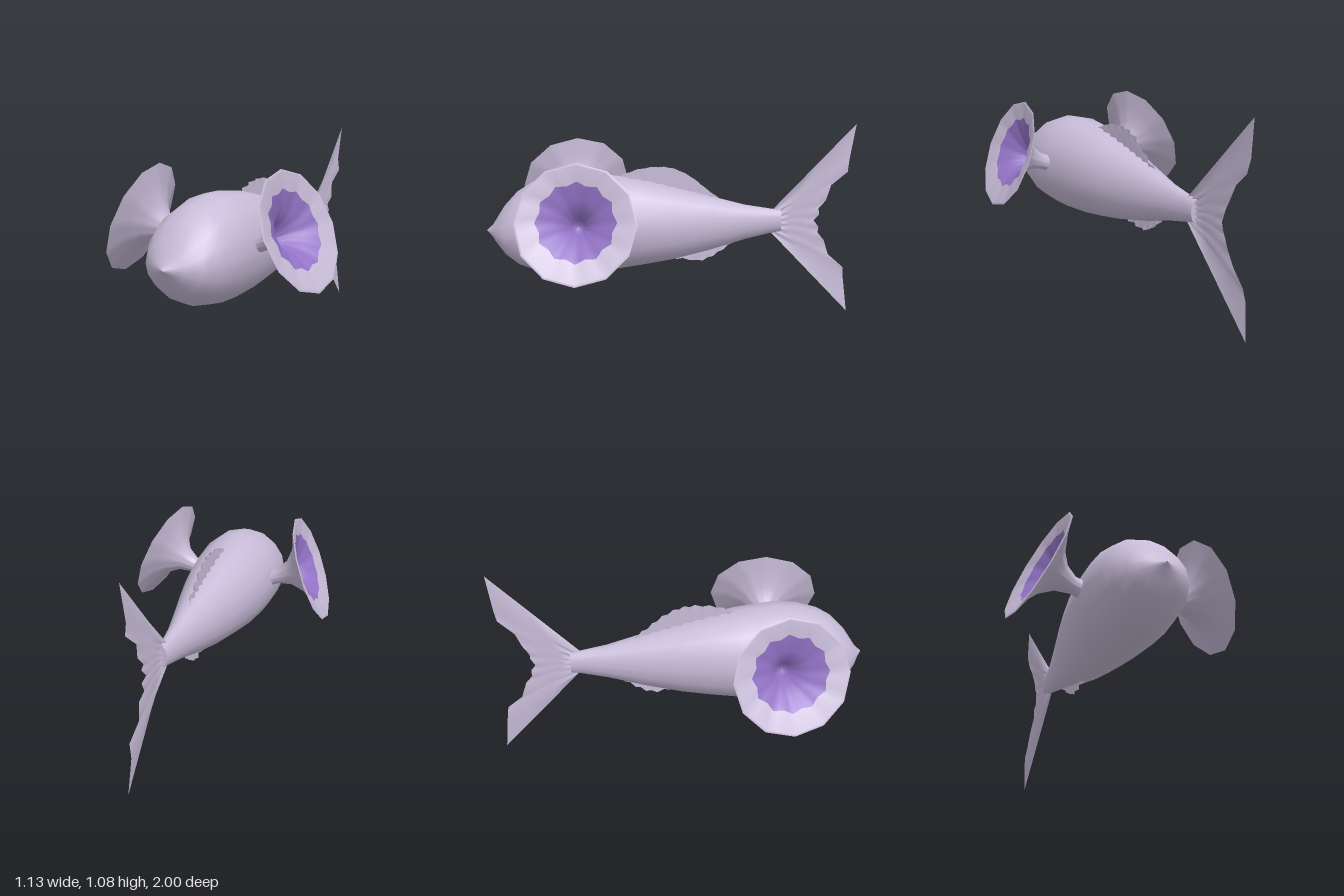
import * as THREE from 'three';

const skin = new THREE.MeshStandardMaterial({ color: 0xc8bcd8 });
skin.name = 'lavender skin';
const finSkin = new THREE.MeshStandardMaterial({ color: 0xc8bcd8, side: THREE.DoubleSide });
finSkin.name = 'lavender fin';
const purple = new THREE.MeshStandardMaterial({ color: 0x9373c6 });
purple.name = 'purple funnel';

// Smooth surface through rows of points; closed rows wrap round
function loft(rows, closed = true) {
  const n = rows[0].length, index = [];
  for (let i = 0; i < rows.length - 1; i++) {
    for (let j = 0; j < (closed ? n : n - 1); j++) {
      const k = (j + 1) % n;
      const a = i * n + j, b = i * n + k, c = a + n, d = b + n;
      index.push(a, b, c, b, d, c);
    }
  }
  const g = new THREE.BufferGeometry().setFromPoints(rows.flat());
  g.setIndex(index);
  g.computeVertexNormals();
  return g;
}

function part(name, geometry, material) {
  const m = new THREE.Mesh(geometry, material);
  m.name = name;
  return m;
}

// Body stations: z, half width, top y, bottom y
const STATIONS = [
  [-0.6, 0.03, 0.605, 0.485], [-0.55, 0.036, 0.615, 0.477], [-0.4, 0.062, 0.642, 0.445],
  [-0.2, 0.11, 0.697, 0.39], [0, 0.16, 0.752, 0.346], [0.15, 0.193, 0.79, 0.324],
  [0.3, 0.22, 0.82, 0.306], [0.5, 0.237, 0.843, 0.295], [0.63, 0.237, 0.833, 0.297],
  [0.75, 0.225, 0.795, 0.316], [0.83, 0.203, 0.745, 0.348], [0.9, 0.16, 0.67, 0.405],
  [0.945, 0.098, 0.6, 0.466], [0.97, 0.05, 0.562, 0.505], [1, 0.002, 0.537, 0.533],
];
const bodyRing = ([z, w, top, bottom]) => Array.from({ length: 16 }, (_, j) => {
  const a = j * Math.PI / 8;
  return new THREE.Vector3(-Math.sin(a) * w, (top + bottom) / 2 + Math.cos(a) * (top - bottom) / 2, z);
});

// Pleated sheet between a root line and an edge line, both [z, y]
function fin(root, edge, count, rootWave, edgeWave, smooth) {
  const at = (pts, t) => {
    const v = pts.map(([z, y]) => new THREE.Vector3(0, y, z));
    if (smooth) return new THREE.CatmullRomCurve3(v).getPoint(t);
    const f = Math.min(t * (v.length - 1), v.length - 1.0001), i = Math.floor(f);
    return v[i].clone().lerp(v[i + 1], f - i);
  };
  const rows = [0, 0.35, 0.7, 1].map(h => Array.from({ length: count + 1 }, (_, j) => {
    const p = at(root, j / count).lerp(at(edge, j / count), h);
    p.x = (j % 2 ? -1 : 1) * THREE.MathUtils.lerp(rootWave, edgeWave, h);
    return p;
  }));
  return loft(rows, false);
}

// Trumpet stations: centre x, y, z, radius, tilt towards the rim direction
const TRUMPET = [
  [0.17, 0.59, 0.505, 0.05, 0], [0.215, 0.597, 0.505, 0.047, 0.1], [0.265, 0.615, 0.505, 0.045, 0.3],
  [0.33, 0.643, 0.508, 0.072, 0.7], [0.382, 0.663, 0.512, 0.128, 1],
  [0.417, 0.682, 0.517, 0.205, 1], [0.453, 0.68, 0.52, 0.305, 1],
];
// Inner wall from the rim down the throat
const RIM = [[0.453, 0.68, 0.52, 0.305, 1], [0.457, 0.682, 0.52, 0.292, 1], [0.428, 0.684, 0.518, 0.198, 1]];
const THROAT = [
  [0.428, 0.684, 0.518, 0.198, 1], [0.393, 0.667, 0.512, 0.118, 1],
  [0.343, 0.648, 0.508, 0.062, 0.7], [0.28, 0.62, 0.505, 0.036, 0.3], [0.27, 0.617, 0.505, 0.001, 0.3],
];

// Twelve-sided ring with fine steps, optionally scalloped
function trumpetRing([x, y, z, r, tilt], side, scallop) {
  const n = new THREE.Vector3(1, 0.12, 0).lerp(new THREE.Vector3(0.933, 0.36, 0.1), tilt).normalize();
  const u = new THREE.Vector3(0, 1, 0).addScaledVector(n, -n.y).normalize();
  const v = n.clone().cross(u);
  const ring = Array.from({ length: 48 }, (_, j) => {
    const a = j * Math.PI / 24;
    const local = (j % 4) * Math.PI / 24 - Math.PI / 12;
    const wave = scallop ? 1 + 0.03 * Math.cos(j * Math.PI / 2) : 1;
    const radius = r * wave * Math.cos(Math.PI / 12) / Math.cos(local);
    const p = new THREE.Vector3(x, y, z)
      .addScaledVector(u, radius * Math.cos(a)).addScaledVector(v, radius * Math.sin(a));
    p.x *= side;
    return p;
  });
  return side > 0 ? ring : ring.reverse();
}

export function createModel() {
  const model = new THREE.Group();
  model.name = 'trumpetFish';

  // Body and flat tail end
  model.add(part('body', loft(STATIONS.map(bodyRing)), skin));
  model.add(part('tailEnd', loft([bodyRing([-0.6, 0.0005, 0.5455, 0.5445]), bodyRing(STATIONS[0])]), skin));

  // Forked tail fin, mirrored about its middle
  const half = [[-1, 1.08], [-0.975, 0.885], [-0.965, 0.815], [-0.88, 0.74],
    [-0.85, 0.655], [-0.815, 0.61], [-0.815, 0.575]];
  const edge = [...half, [-0.79, 0.54], ...half.map(([z, y]) => [z, 1.08 - y]).reverse()];
  model.add(part('tailFin', fin([[-0.55, 0.612], [-0.57, 0.545], [-0.55, 0.478]], edge, 14, 0.012, 0.006, false), finSkin));

  // Ruffled back and belly fins
  model.add(part('backFin', fin([[0.28, 0.72], [0, 0.68], [-0.26, 0.62]],
    [[0.29, 0.815], [0.19, 0.851], [0.075, 0.863], [-0.01, 0.851], [-0.1, 0.805], [-0.18, 0.74], [-0.27, 0.67]],
    18, 0.006, 0.01, true), finSkin));
  model.add(part('bellyFin', fin([[0.03, 0.42], [-0.17, 0.46], [-0.36, 0.5]],
    [[0.04, 0.345], [-0.05, 0.342], [-0.155, 0.328], [-0.235, 0.36], [-0.315, 0.415], [-0.38, 0.46]],
    14, 0.006, 0.01, true), finSkin));

  // Trumpet-shaped side fins
  for (const side of [1, -1]) {
    const g = new THREE.Group();
    g.name = side > 0 ? 'leftTrumpet' : 'rightTrumpet';
    g.add(part('horn', loft(TRUMPET.map(s => trumpetRing(s, side))), skin));
    g.add(part('rim', loft(RIM.map((s, i) => trumpetRing(s, side, i === 2))), skin));
    g.add(part('throat', loft(THROAT.map((s, i) => trumpetRing(s, side, i === 0))), purple));
    model.add(g);
  }
  return model;
}
